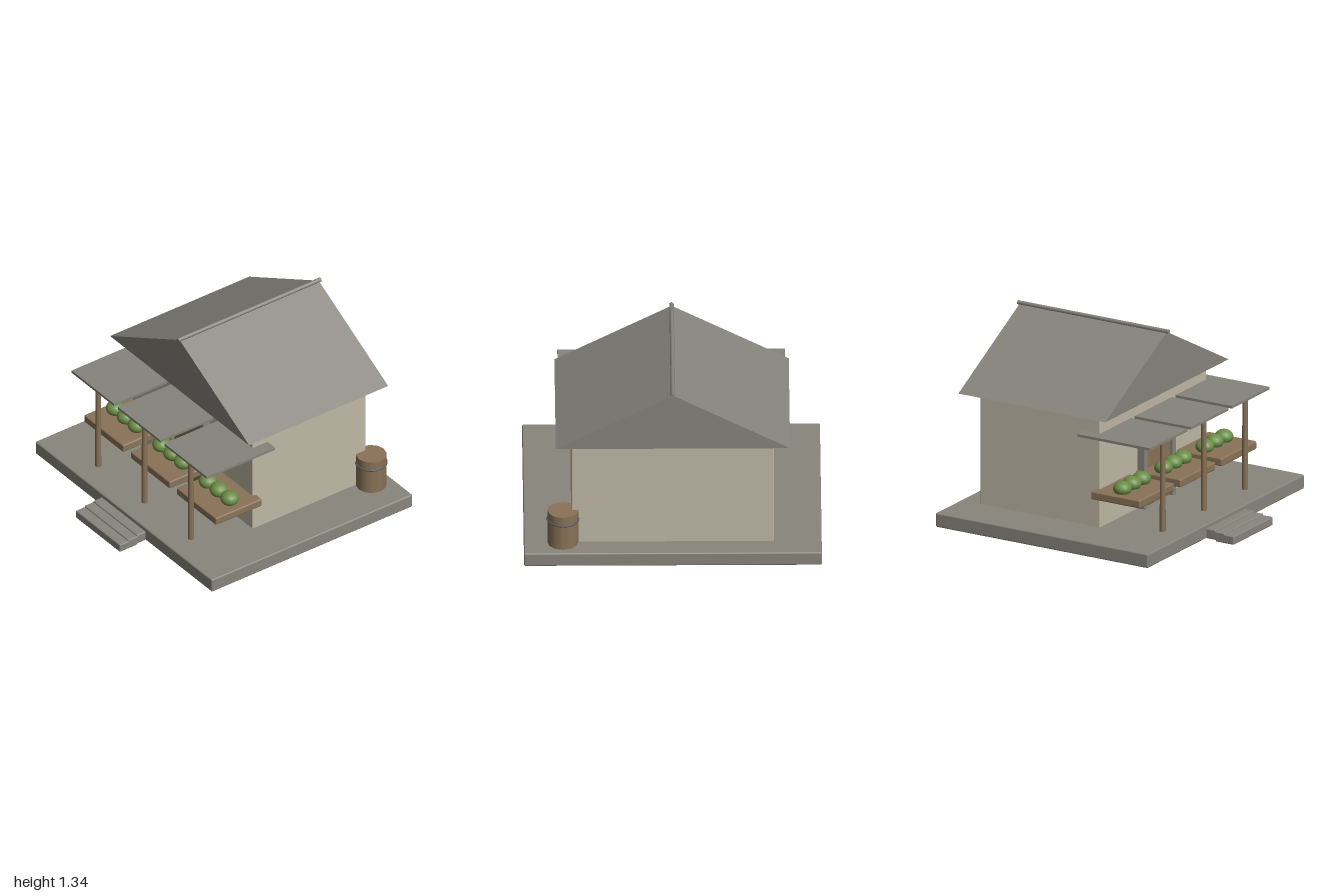
import * as THREE from 'three';
import { RoundedBoxGeometry } from 'three/addons/geometries/RoundedBoxGeometry.js';

const paint = (name, color) => {
  const m = new THREE.MeshStandardMaterial({ color });
  m.name = name;
  return m;
};

export function createModel() {
  const stone = paint('stone grey', 0x88857c);
  const roofGrey = paint('roof grey', 0x86847c);
  const plaster = paint('plaster', 0xbfb8a6);
  const wood = paint('wood brown', 0x8a7358);
  const iron = paint('dark iron', 0x5c5c5a);
  const leaf = paint('leaf green', 0x6b8e46);

  const model = new THREE.Group();
  model.name = 'cottage';

  const add = (name, geometry, material, x = 0, y = 0, z = 0, parent = model) => {
    const mesh = new THREE.Mesh(geometry, material);
    mesh.name = name;
    mesh.position.set(x, y, z);
    parent.add(mesh);
    return mesh;
  };
  // Box given by its extents, with softened edges when r > 0
  const box = (name, material, [x0, x1], [y0, y1], [z0, z1], r = 0, parent = model) => {
    const size = [x1 - x0, y1 - y0, z1 - z0];
    const geometry = r ? new RoundedBoxGeometry(...size, 2, r) : new THREE.BoxGeometry(...size);
    return add(name, geometry, material, (x0 + x1) / 2, (y0 + y1) / 2, (z0 + z1) / 2, parent);
  };

  // Platform and three shallow overlapping steps
  box('platform', stone, [-1, 1], [0.013, 0.112], [-0.945, 0.73], 0.01);
  for (let i = 0; i < 3; i++) {
    const front = 0.945 - i * 0.072;
    box('step', stone, [-0.25, 0.25], [0.003 + i * 0.01, 0.063 + i * 0.01], [front - 0.145, front], 0.008);
  }

  // House body
  box('walls', plaster, [-0.68, 0.68], [0.1, 0.875], [-0.79, 0.155], 0.008);

  // Closed gable roof, floating just above the walls
  const gable = new THREE.Shape();
  gable.moveTo(-0.787, 0.905);
  gable.lineTo(0.787, 0.905);
  gable.lineTo(0, 1.322);
  gable.closePath();
  add('roof', new THREE.ExtrudeGeometry(gable, { depth: 1.16, bevelEnabled: false }), roofGrey, 0, 0, -0.897);
  const ridge = add('ridgePole', new THREE.CylinderGeometry(0.015, 0.015, 1.19, 8), roofGrey, 0, 1.326, -0.317);
  ridge.rotation.x = Math.PI / 2;

  // Door with its stone surround
  for (const s of [-1, 1]) {
    box('doorJamb', stone, [s * 0.18 - 0.02, s * 0.18 + 0.02], [0.11, 0.74], [0.14, 0.212], 0.006);
  }
  box('doorLintel', stone, [-0.2, 0.2], [0.685, 0.74], [0.14, 0.212], 0.006);
  box('door', wood, [-0.162, 0.162], [0.115, 0.688], [0.14, 0.19], 0.006);

  // Three stalls: awning, post, planter and shrubs
  for (const x of [-0.525, 0, 0.525]) {
    const stall = new THREE.Group();
    stall.name = 'stall';
    stall.position.x = x;
    model.add(stall);
    box('awning', roofGrey, [-0.24, 0.24], [0.757, 0.775], [0.03, 0.6], 0, stall);
    add('post', new THREE.CylinderGeometry(0.018, 0.021, 0.655, 10), wood, 0, 0.435, 0.555, stall);
    box('planter', wood, [-0.223, 0.223], [0.325, 0.382], [0.125, 0.51], 0.01, stall);
    for (const dx of [-0.13, -0.006, 0.116]) {
      const shrub = add('shrub', new THREE.SphereGeometry(0.064, 14, 10), leaf, dx, 0.411, 0.317, stall);
      shrub.scale.y = 0.78;
    }
  }

  // Barrel with an iron hoop
  const barrel = new THREE.Group();
  barrel.name = 'barrel';
  barrel.position.set(0.738, 0, -0.792);
  model.add(barrel);
  add('barrelBody', new THREE.CylinderGeometry(0.104, 0.104, 0.252, 12), wood, 0, 0.236, 0, barrel);
  const hoop = add('barrelHoop', new THREE.TorusGeometry(0.104, 0.007, 6, 24), iron, 0, 0.296, 0, barrel);
  hoop.rotation.x = Math.PI / 2;

  return model;
}
